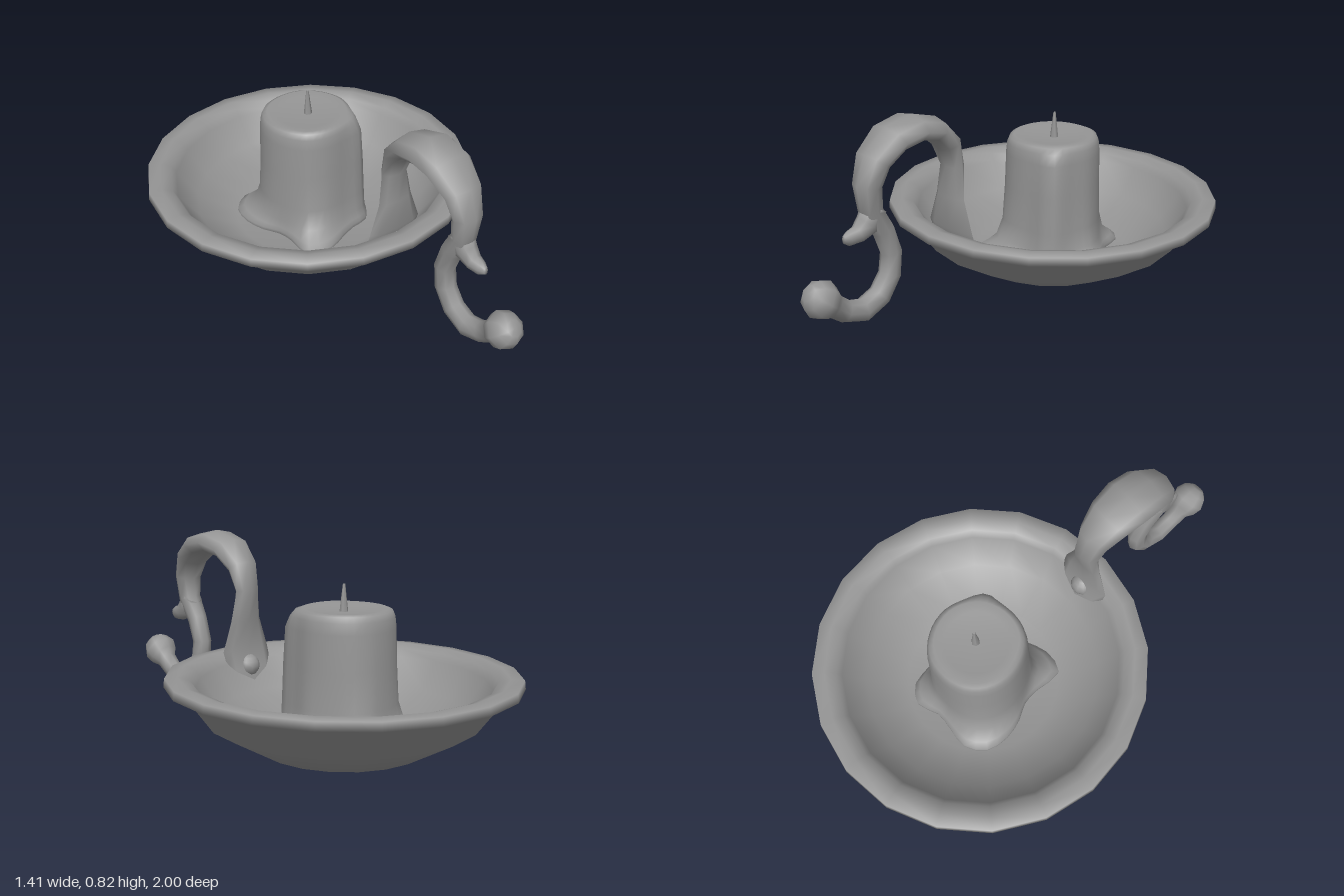
import * as THREE from 'three';

const material = new THREE.MeshStandardMaterial({ color: 0x959595, side: THREE.DoubleSide });

function addMesh(parent, name, geometry, x = 0, y = 0, z = 0) {
  const mesh = new THREE.Mesh(geometry, material);
  mesh.name = name;
  mesh.position.set(x, y, z);
  parent.add(mesh);
  return mesh;
}

// Skin a list of equal-sized closed rings, with a fan on both ends
function loft(rings, startCentre, endCentre) {
  const n = rings[0].length;
  const points = [...rings.flat(), startCentre, endCentre];
  const start = points.length - 2, end = points.length - 1;
  const last = (rings.length - 1) * n;
  const index = [];
  for (let j = 0; j < n; j++) {
    const k = (j + 1) % n;
    for (let i = 0; i < last; i += n) {
      index.push(i + j, i + k, i + n + k, i + j, i + n + k, i + n + j);
    }
    index.push(start, k, j, end, last + j, last + k);
  }
  const geometry = new THREE.BufferGeometry().setFromPoints(points);
  geometry.setIndex(index);
  geometry.computeVertexNormals();
  return geometry;
}

// Elliptical bar in the yz plane; stations are [z, y, half width, half thickness]
function bar(stations, sides = 8) {
  const centres = stations.map(([z, y]) => new THREE.Vector3(0, y, z));
  const side = new THREE.Vector3(1, 0, 0);
  const rings = stations.map(([, , w, t], i) => {
    const before = centres[Math.max(i - 1, 0)];
    const after = centres[Math.min(i + 1, centres.length - 1)];
    const normal = after.clone().sub(before).normalize().cross(side);
    return Array.from({ length: sides }, (_, j) => {
      const a = (j / sides) * Math.PI * 2;
      return centres[i].clone()
        .addScaledVector(side, Math.cos(a) * w)
        .addScaledVector(normal, Math.sin(a) * t);
    });
  });
  return loft(rings, centres[0], centres[centres.length - 1]);
}

// Candle whose round body, with one long drip, melts into an uneven pool of wax
function candleGeometry() {
  const poolRadii = [0.275, 0.245, 0.24, 0.295, 0.305, 0.25, 0.265, 0.315, 0.325, 0.29,
    0.25, 0.22, 0.245, 0.34, 0.31, 0.255, 0.24, 0.265, 0.255, 0.25];
  const corners = poolRadii.map((r, j) => {
    const a = (j / poolRadii.length) * Math.PI * 2;
    return new THREE.Vector3(Math.cos(a) * r, 0, -Math.sin(a) * r);
  });
  const outline = new THREE.CatmullRomCurve3(corners, true).getPoints(40).slice(0, -1);
  const dripDirection = new THREE.Vector3(0.67, 0, 0.74);

  // [height, body radius, share of the pool outline, size of the drip]
  const levels = [[0.04, 0.2, 1, 0], [0.07, 0.2, 0.98, 0], [0.088, 0.2, 0.75, 0.01],
    [0.12, 0.2, 0.35, 0.03], [0.2, 0.2, 0.14, 0.04], [0.36, 0.198, 0.08, 0.04],
    [0.5, 0.196, 0.06, 0.035], [0.545, 0.192, 0.05, 0.02], [0.568, 0.182, 0.05, 0.01],
    [0.575, 0.165, 0.05, 0], [0.568, 0.13, 0, 0]];
  const rings = levels.map(([y, body, share, drip]) => outline.map((p) => {
    const closeness = dripDirection.dot(p) / p.length();
    const radius = body + (p.length() - 0.2) * share + drip * Math.max(closeness, 0) ** 24;
    return p.clone().setLength(radius).setY(y);
  }));
  return loft(rings, new THREE.Vector3(0, 0.04, 0), new THREE.Vector3(0, 0.56, 0));
}

export function createModel() {
  const model = new THREE.Group();
  model.name = 'candleHolder';
  const centreZ = -0.295;

  // Shallow dish: outside, rolled rim, then inside
  const profile = [[0, 0.002], [0.34, 0.016], [0.55, 0.135], [0.645, 0.263], [0.707, 0.278],
    [0.703, 0.312], [0.65, 0.316], [0.605, 0.3], [0.585, 0.268], [0.5, 0.15],
    [0.33, 0.06], [0, 0.045]].map(([r, y]) => new THREE.Vector2(r, y));
  addMesh(model, 'dish', new THREE.LatheGeometry(profile, 20), 0, 0, centreZ);

  // Candle and wick
  addMesh(model, 'candle', candleGeometry(), 0, 0, -0.3);
  addMesh(model, 'wick', new THREE.CylinderGeometry(0.005, 0.019, 0.12, 6), 0.005, 0.61, -0.3);

  // Scrolled handle: flared foot, broad arch, slim curl ending in a bulb
  const handle = new THREE.Group();
  handle.name = 'handle';
  model.add(handle);
  addMesh(handle, 'handleScroll', bar([
    [0.24, 0.175, 0.085, 0.01], [0.265, 0.24, 0.122, 0.014], [0.293, 0.32, 0.125, 0.018],
    [0.292, 0.45, 0.08, 0.023], [0.28, 0.58, 0.06, 0.034], [0.31, 0.68, 0.075, 0.045],
    [0.385, 0.752, 0.098, 0.048], [0.48, 0.777, 0.11, 0.05], [0.58, 0.757, 0.105, 0.05],
    [0.66, 0.69, 0.085, 0.05], [0.692, 0.6, 0.064, 0.048], [0.682, 0.5, 0.05, 0.046],
    [0.63, 0.41, 0.042, 0.045], [0.597, 0.31, 0.04, 0.044], [0.608, 0.22, 0.04, 0.047],
    [0.66, 0.147, 0.04, 0.05], [0.74, 0.113, 0.042, 0.049], [0.82, 0.137, 0.04, 0.044],
    [0.87, 0.177, 0.045, 0.045], [0.895, 0.198, 0.066, 0.065], [0.925, 0.225, 0.076, 0.076],
    [0.955, 0.25, 0.06, 0.06], [0.972, 0.264, 0.032, 0.032],
  ]));
  addMesh(handle, 'handleSpur', bar([
    [0.665, 0.51, 0.046, 0.05], [0.7, 0.452, 0.04, 0.052], [0.745, 0.425, 0.032, 0.036],
    [0.785, 0.42, 0.022, 0.031], [0.808, 0.422, 0.01, 0.016],
  ]));
  addMesh(handle, 'rivet', new THREE.SphereGeometry(0.05, 10, 8), 0, 0.25, 0.276);

  return model;
}
